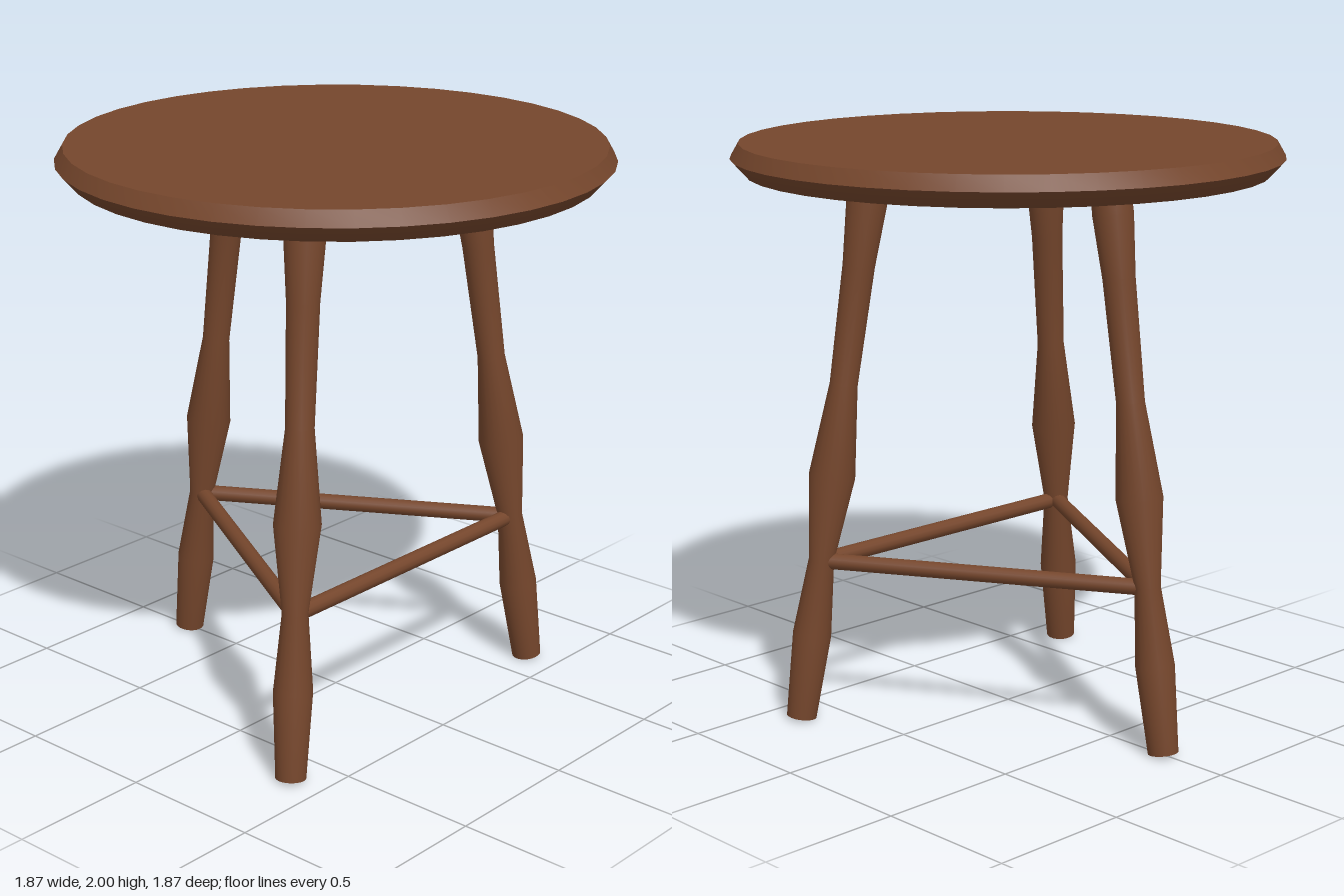
import * as THREE from 'three';
import { toCreasedNormals } from 'three/addons/utils/BufferGeometryUtils.js';

const wood = new THREE.MeshStandardMaterial({ color: 0x75462c });
wood.name = 'brown wood';

// Turned part from [radius, height] pairs, bottom to top
function turned(name, profile, sides) {
  const points = profile.map(([r, y]) => new THREE.Vector2(r, y));
  const geometry = toCreasedNormals(new THREE.LatheGeometry(points, sides), 0.9);
  const mesh = new THREE.Mesh(geometry, wood);
  mesh.name = name;
  return mesh;
}

export function createModel() {
  const stool = new THREE.Group();
  stool.name = 'stool';

  // Round seat with a bevelled rim
  stool.add(turned('seat', [
    [0, 1.895], [0.887, 1.895], [0.937, 1.95], [0.908, 2], [0, 2],
  ], 40));

  const legProfile = [
    [0, 0], [0.052, 0], [0.067, 0.3], [0.044, 0.57], [0.08, 0.87],
    [0.048, 1.19], [0.055, 1.6], [0.069, 1.81], [0.066, 1.9], [0, 1.9],
  ];
  const names = ['back', 'frontLeft', 'frontRight'];
  const stretcherRing = 0.665;

  names.forEach((name, i) => {
    const side = new THREE.Group();
    side.name = name + 'Side';
    side.rotation.y = -i * Math.PI * 2 / 3;

    // Splayed leg
    const leg = turned(name + 'Leg', legProfile, 20);
    leg.position.set(0, 0.007, -0.745);
    leg.rotation.x = 0.142;
    side.add(leg);

    // Stretcher facing this leg, joining the other two
    const rod = new THREE.Mesh(
      new THREE.CylinderGeometry(0.028, 0.028, stretcherRing * Math.sqrt(3), 12), wood);
    rod.name = name + 'OppositeStretcher';
    rod.rotation.z = Math.PI / 2;
    rod.position.set(0, 0.567, stretcherRing / 2);
    side.add(rod);

    stool.add(side);
  });

  return stool;
}
